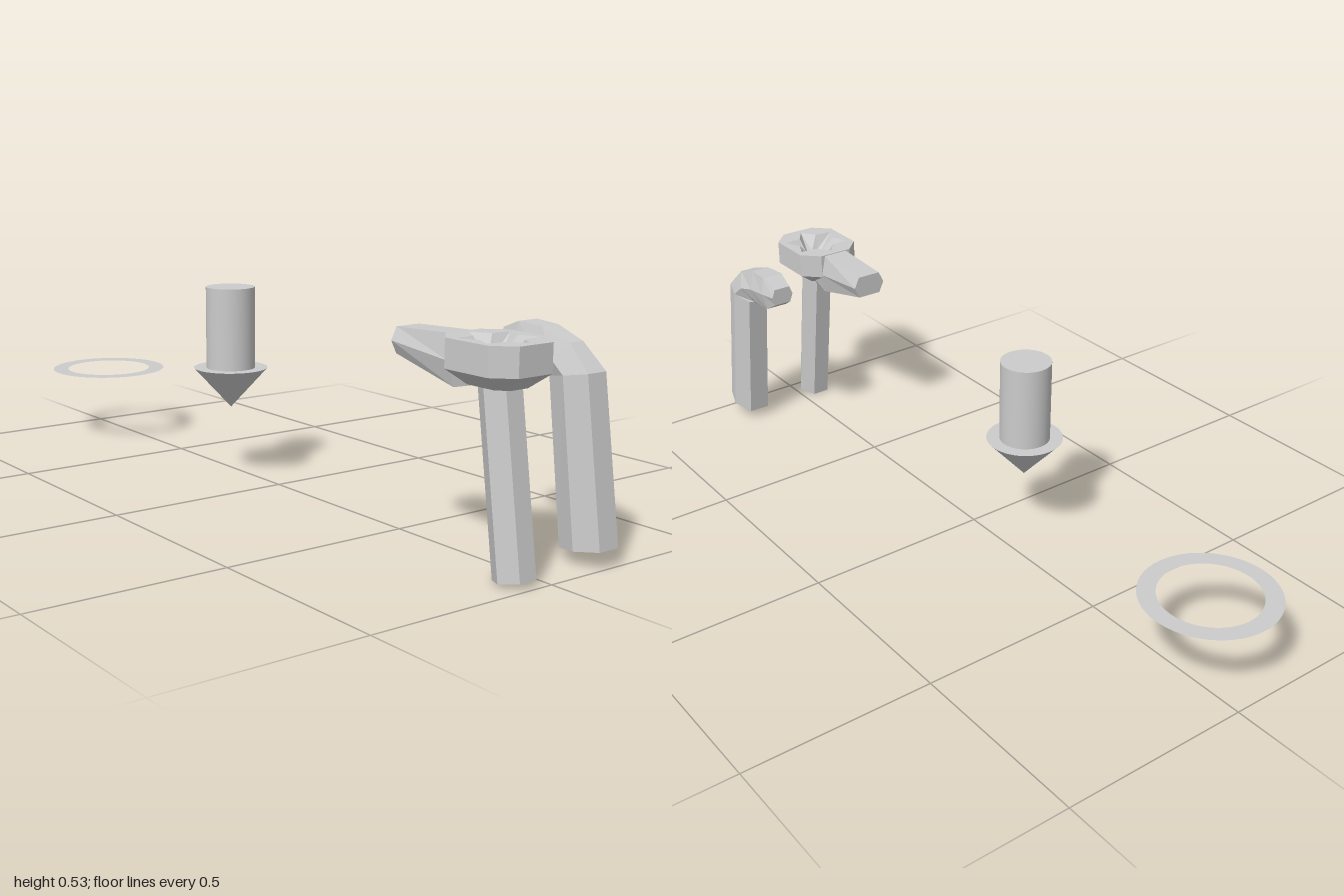
import * as THREE from 'three';

const material = new THREE.MeshStandardMaterial({ color: 0xcccccc, flatShading: true, side: THREE.DoubleSide });
const smooth = new THREE.MeshStandardMaterial({ color: 0xcccccc });
const thin = new THREE.MeshStandardMaterial({ color: 0xcccccc, side: THREE.DoubleSide });

function addMesh(parent, name, geometry, mat = material) {
  const mesh = new THREE.Mesh(geometry, mat);
  mesh.name = name;
  parent.add(mesh);
  return mesh;
}

// Skin equal-length rings of [x, y, z] into a faceted surface, with optional end caps
function skin(rings, capStart = true, capEnd = true) {
  const pos = [];
  const tri = (...pts) => pts.forEach((p) => pos.push(...p));
  const n = rings[0].length;
  for (let i = 0; i < rings.length - 1; i++) {
    for (let j = 0; j < n; j++) {
      const k = (j + 1) % n;
      const [a, b, c, d] = [rings[i][j], rings[i][k], rings[i + 1][k], rings[i + 1][j]];
      tri(a, b, c);
      tri(a, c, d);
    }
  }
  const first = rings[0], last = rings[rings.length - 1];
  for (let j = 1; j < n - 1; j++) {
    if (capStart) tri(first[0], first[j + 1], first[j]);
    if (capEnd) tri(last[0], last[j], last[j + 1]);
  }
  const geometry = new THREE.BufferGeometry();
  geometry.setAttribute('position', new THREE.Float32BufferAttribute(pos, 3));
  geometry.computeVertexNormals();
  return geometry;
}

// Six-sided section between an outer and an inner (z, y) point:
// w = half width at the middle, f = half width of the two flats
function hexSection([oz, oy, iz, iy, w, f]) {
  const mz = (oz + iz) / 2, my = (oy + iy) / 2;
  return [[f, oy, oz], [w, my, mz], [f, iy, iz], [-f, iy, iz], [-w, my, mz], [-f, oy, oz]];
}

// Octagon with half sizes hx, hz and corner cut c, around the cup centre
function octagon(y, hx, hz, c) {
  return [
    [-hx + c, y, hz], [hx - c, y, hz], [hx, y, hz - c], [hx, y, -hz + c],
    [hx - c, y, -hz], [-hx + c, y, -hz], [-hx, y, -hz + c], [-hx, y, hz - c],
  ];
}

// Twelve points alternating between two radii, with points along z
function star(y, outer, inner) {
  return Array.from({ length: 12 }, (_, i) => {
    const a = (i * Math.PI) / 6, r = i % 2 ? inner : outer;
    return [Math.sin(a) * r, y, Math.cos(a) * r];
  });
}

function cuppedTool() {
  const tool = new THREE.Group();
  tool.name = 'cuppedTool';

  // Leaning six-sided handle
  addMesh(tool, 'cuppedToolHandle', skin([
    [0.987, 0.016, 0.903, 0.002, 0.049, 0.0245],
    [0.925, 0.445, 0.841, 0.432, 0.049, 0.0245],
  ].map(hexSection)));

  // Tapering arm behind the cup
  addMesh(tool, 'cuppedToolArm', skin([
    [0.83, 0.47, 0.83, 0.42, 0.049, 0.036],
    [0.768, 0.525, 0.78, 0.408, 0.049, 0.036],
    [0.585, 0.517, 0.585, 0.455, 0.049, 0.034],
  ].map(hexSection)));

  // Cup with a star-shaped recess
  const cup = new THREE.Group();
  cup.name = 'cup';
  cup.position.z = 0.877;
  tool.add(cup);
  const top = 0.527;
  const rimOuter = octagon(top, 0.094, 0.11, 0.045);
  const rimInner = star(top, 0.09, 0.057);
  addMesh(cup, 'cupBody', skin([
    octagon(0.425, 0.049, 0.065, 0.0245), octagon(0.46, 0.094, 0.11, 0.045), rimOuter,
  ], true, false));
  const flat = (ring) => ring.map(([x, , z]) => new THREE.Vector2(x, -z));
  const rim = new THREE.Shape(flat(rimOuter));
  rim.holes.push(new THREE.Path(flat(rimInner)));
  addMesh(cup, 'cupRim', new THREE.ShapeGeometry(rim).rotateX(-Math.PI / 2).translate(0, top, 0));
  addMesh(cup, 'cupRecess', skin([rimInner, star(0.487, 0.028, 0.032)], false, true));

  tool.position.x = -0.058;
  return tool;
}

function bentHandle() {
  const mesh = new THREE.Mesh(skin([
    [1.0, 0.045, 0.88, 0.027, 0.05, 0.03],
    [0.943, 0.435, 0.83, 0.415, 0.047, 0.029],
    [0.88, 0.495, 0.812, 0.42, 0.045, 0.021],
    [0.8, 0.522, 0.775, 0.425, 0.043, 0.026],
    [0.73, 0.526, 0.715, 0.435, 0.042, 0.03],
    [0.677, 0.505, 0.677, 0.458, 0.033, 0.024],
  ].map(hexSection)), material);
  mesh.name = 'bentHandle';
  mesh.position.x = 0.178;
  return mesh;
}

function arrow() {
  const group = new THREE.Group();
  group.name = 'downArrow';
  addMesh(group, 'arrowShaft', new THREE.CylinderGeometry(0.066, 0.066, 0.22, 48), smooth).position.y = 0.42;
  addMesh(group, 'arrowHead', new THREE.CylinderGeometry(0.1, 0, 0.11, 48), smooth).position.y = 0.255;
  group.position.set(-0.058, 0, -0.143);
  return group;
}

export function createModel() {
  const model = new THREE.Group();
  model.add(cuppedTool(), bentHandle(), arrow());

  // Flat marker ring
  const ring = addMesh(model, 'markerRing', new THREE.RingGeometry(0.125, 0.17, 64).rotateX(-Math.PI / 2), thin);
  ring.position.set(-0.058, 0.205, -0.83);
  return model;
}
